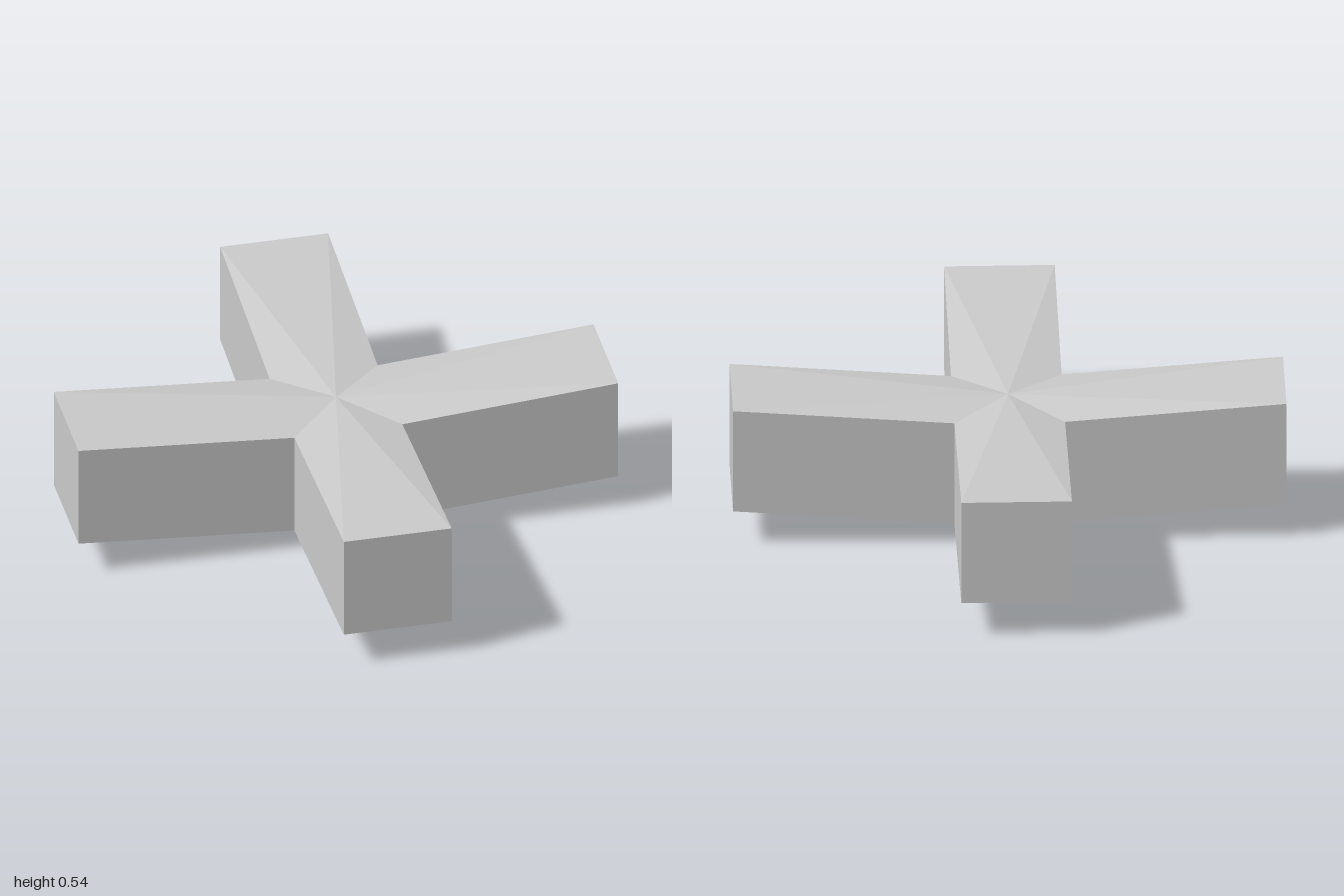
import * as THREE from 'three';

const TIP = 0.138, CORNER = 0.078; // underside heights at arm tips and inner corners
const TOP_CENTRE = 0.498, WALL = 0.4, HALF = 0.2;

// Outline of the cross, counter-clockwise seen from above: [x, y, z]
function outline() {
  const points = [];
  const arm = [[1, TIP, HALF], [1, TIP, -HALF], [HALF, CORNER, -HALF]];
  for (let i = 0; i < 4; i++) {
    const c = Math.round(Math.cos(i * Math.PI / 2)), s = Math.round(Math.sin(i * Math.PI / 2));
    for (const [x, y, z] of arm) points.push([x * c + z * s, y, z * c - x * s]);
  }
  return points;
}

function surface(name, triangles) {
  const geometry = new THREE.BufferGeometry();
  geometry.setAttribute('position', new THREE.Float32BufferAttribute(triangles.flat(2), 3));
  geometry.computeVertexNormals();
  const mesh = new THREE.Mesh(geometry, new THREE.MeshStandardMaterial({ color: 0xcccccc, flatShading: true }));
  mesh.name = name;
  return mesh;
}

export function createModel() {
  const low = outline();
  const high = low.map(([x, y, z]) => [x, y + WALL, z]);
  const top = [], bottom = [], walls = [];
  low.forEach((a, i) => {
    const j = (i + 1) % low.length;
    const b = low[j], c = high[j], d = high[i];
    top.push([[0, TOP_CENTRE, 0], d, c]);
    bottom.push([[0, 0, 0], b, a]);
    walls.push([a, b, c], [a, c, d]);
  });

  const group = new THREE.Group();
  group.name = 'cross';
  // Fans of facets above and below, joined by upright side walls
  group.add(surface('topFacets', top), surface('undersideFacets', bottom), surface('sideWalls', walls));
  return group;
}
